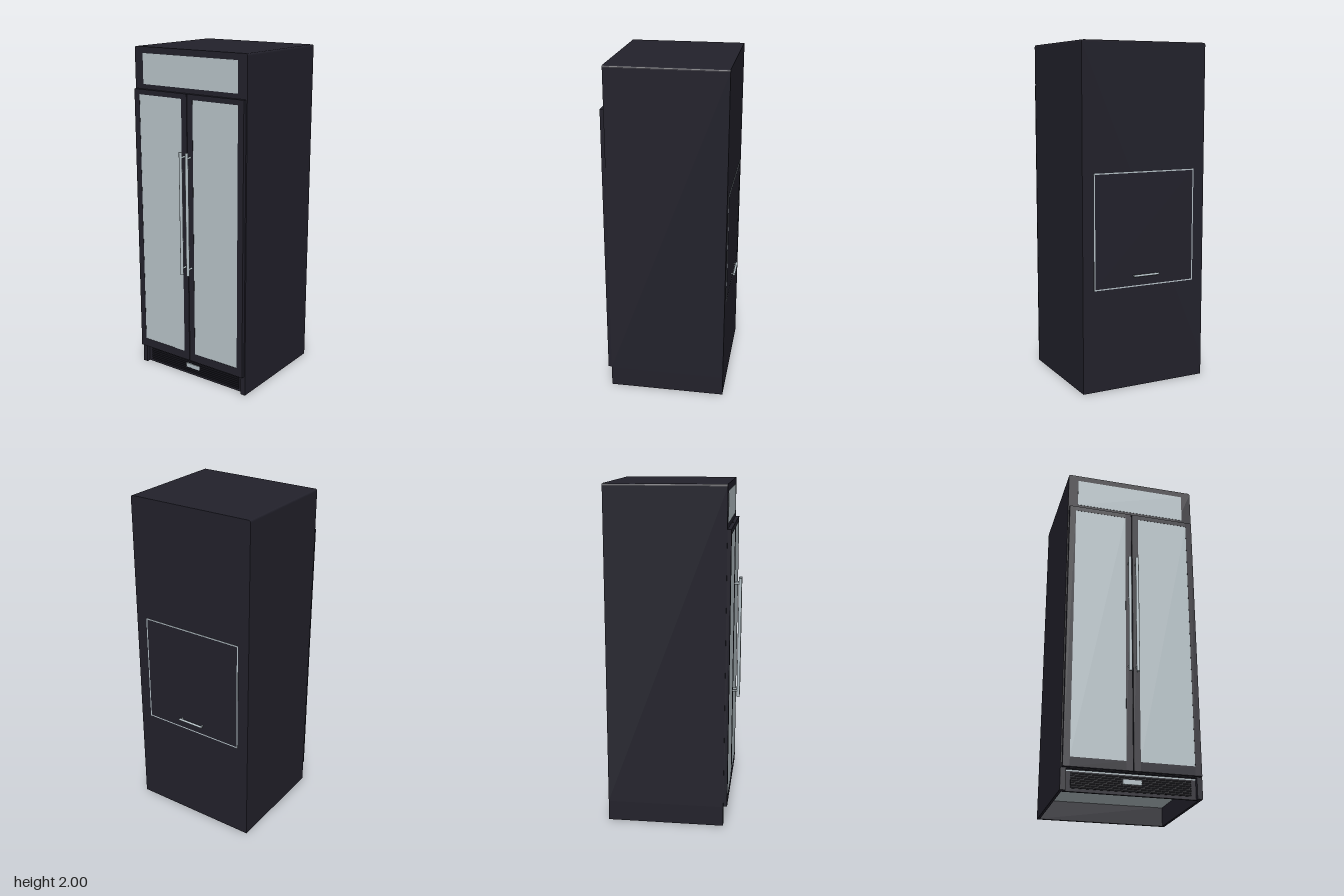
import * as THREE from 'three';

const mat = (name, color) => {
  const m = new THREE.MeshStandardMaterial({ color });
  m.name = name;
  return m;
};

export function createModel() {
  const model = new THREE.Group();
  model.name = 'displayFridge';
  const shell = mat('darkShell', 0x22212b);
  const glass = mat('paleGlass', 0xb8c4c9);
  const metal = mat('brushedMetal', 0xb4c0c6);
  const black = mat('ventBlack', 0x17171d);

  const add = (name, geo, material, x, y, z, parent = model) => {
    const m = new THREE.Mesh(geo, material);
    m.name = name;
    m.position.set(x, y, z);
    parent.add(m);
    return m;
  };
  // box given by its minimum and maximum on each axis
  const box = (name, material, [x0, x1], [y0, y1], [z0, z1], parent = model) =>
    add(name, new THREE.BoxGeometry(x1 - x0, y1 - y0, z1 - z0), material,
      (x0 + x1) / 2, (y0 + y1) / 2, (z0 + z1) / 2, parent);
  // round bar along one axis
  const bar = (name, axis, r, length, x, y, z, parent) => {
    const g = new THREE.CylinderGeometry(r, r, length, 16);
    if (axis === 'x') g.rotateZ(Math.PI / 2);
    if (axis === 'z') g.rotateX(Math.PI / 2);
    return add(name, g, metal, x, y, z, parent);
  };

  const W = 0.395, BACK = -0.365, FRONT = 0.325, BASE = 0.12, DOOR = 0.347;

  // cabinet with softened top corners
  const r = 0.012;
  const s = new THREE.Shape();
  s.moveTo(-W, BASE);
  s.lineTo(W, BASE);
  s.lineTo(W, 2 - r);
  s.quadraticCurveTo(W, 2, W - r, 2);
  s.lineTo(-W + r, 2);
  s.quadraticCurveTo(-W, 2, -W, 2 - r);
  s.closePath();
  const cabinet = new THREE.ExtrudeGeometry(s, { depth: FRONT - BACK, bevelEnabled: false, curveSegments: 4 });
  add('cabinet', cabinet, shell, 0, 0, BACK);

  // hollow base: side skirts, back skirt and pale underside panel
  for (const k of [-1, 1]) {
    box('sideSkirt', shell, k < 0 ? [-W, -W + 0.015] : [W - 0.015, W], [0, BASE], [BACK, FRONT]);
    box('frontPost', shell, k < 0 ? [-W, -0.365] : [0.365, W], [0, BASE], [0.285, FRONT]);
  }
  box('backSkirt', shell, [-W, W], [0, BASE], [BACK, BACK + 0.015]);
  box('undersidePanel', glass, [-0.38, 0.38], [0.114, BASE], [BACK + 0.015, 0.285]);

  // recessed ventilation grille
  const grille = new THREE.Group();
  grille.name = 'grille';
  model.add(grille);
  box('grillePlate', shell, [-0.365, 0.365], [0, 0.11], [0.285, 0.3], grille);
  box('grilleStrip', glass, [-0.365, 0.365], [0.11, 0.118], [0.285, 0.3], grille);
  box('ventBack', black, [-0.335, 0.335], [0.018, 0.102], [0.3, 0.304], grille);
  for (let i = 0; i < 7; i++) {
    const y = 0.02 + i * 0.0125;
    box('slat', shell, [-0.335, 0.335], [y, y + 0.006], [0.304, 0.312], grille);
  }
  box('badge', metal, [-0.052, 0.052], [0.055, 0.081], [0.312, 0.318], grille);

  // header light panel
  box('headerPanel', glass, [-0.335, 0.335], [1.785, 1.963], [FRONT, FRONT + 0.002]);

  // mirrored doors with glass and bar handles
  for (const k of [-1, 1]) {
    const door = new THREE.Group();
    door.name = k < 0 ? 'rightDoor' : 'leftDoor';
    model.add(door);
    const span = (a, b) => (k < 0 ? [-b, -a] : [a, b]);
    box('doorFrame', shell, span(0.002, 0.388), [0.122, 1.757], [FRONT, DOOR - 0.002], door);
    // raised rim around the pane
    box('doorStile', shell, span(0.002, 0.04), [0.122, 1.757], [DOOR - 0.002, DOOR], door);
    box('doorStile', shell, span(0.35, 0.388), [0.122, 1.757], [DOOR - 0.002, DOOR], door);
    box('doorRail', shell, span(0.04, 0.35), [0.122, 0.175], [DOOR - 0.002, DOOR], door);
    box('doorRail', shell, span(0.04, 0.35), [1.727, 1.757], [DOOR - 0.002, DOOR], door);
    box('doorGlass', glass, span(0.04, 0.35), [0.175, 1.727], [DOOR - 0.002, DOOR - 0.001], door);
    bar('doorHandle', 'y', 0.0095, 0.74, k * 0.022, 1.06, 0.382, door);
    for (const y of [0.728, 1.397]) bar('handlePost', 'z', 0.006, 0.037, k * 0.022, y, 0.3635, door);
  }

  // rear service hatch with pale outline and handle
  const hatch = new THREE.Group();
  hatch.name = 'rearHatch';
  model.add(hatch);
  const hz = [BACK - 0.002, BACK], t = 0.007, hx = 0.325, y0 = 0.6, y1 = 1.27;
  box('hatchPanel', shell, [-hx + t, hx - t], [y0 + t, y1 - t], hz, hatch);
  box('hatchOutline', metal, [-hx, hx], [y0, y0 + t], hz, hatch);
  box('hatchOutline', metal, [-hx, hx], [y1 - t, y1], hz, hatch);
  box('hatchOutline', metal, [-hx, -hx + t], [y0 + t, y1 - t], hz, hatch);
  box('hatchOutline', metal, [hx - t, hx], [y0 + t, y1 - t], hz, hatch);
  bar('hatchHandle', 'x', 0.007, 0.164, 0, 0.667, -0.386, hatch);
  for (const x of [-0.074, 0.074]) bar('hatchPost', 'z', 0.004, 0.022, x, 0.667, -0.376, hatch);

  return model;
}
